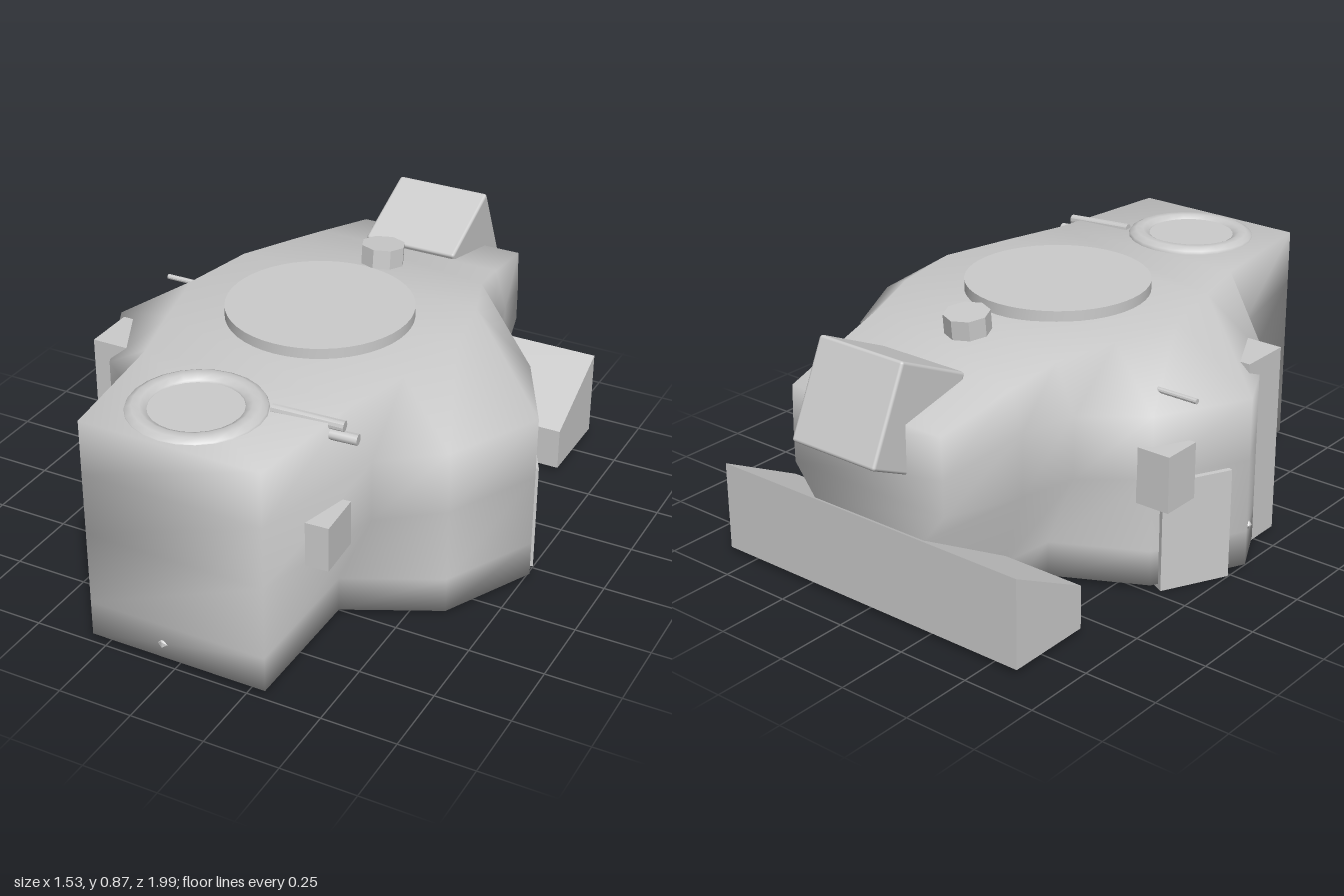
import * as THREE from 'three';
import { toCreasedNormals } from 'three/addons/utils/BufferGeometryUtils.js';
import { RoundedBoxGeometry } from 'three/addons/geometries/RoundedBoxGeometry.js';

const material = new THREE.MeshStandardMaterial({ color: 0xcccccc });

export function createModel() {
  const group = new THREE.Group();
  const add = (name, geometry, x = 0, y = 0, z = 0, rx = 0, ry = 0, rz = 0) => {
    const mesh = new THREE.Mesh(geometry, material);
    mesh.name = name;
    mesh.position.set(x, y, z);
    mesh.rotation.set(rx, ry, rz);
    group.add(mesh);
    return mesh;
  };
  const box = (name, x0, x1, y0, y1, z0, z1) =>
    add(name, new THREE.BoxGeometry(x1 - x0, y1 - y0, z1 - z0), (x0 + x1) / 2, (y0 + y1) / 2, (z0 + z1) / 2);

  add('hull', hullGeometry());

  // Roof hatch, vent and periscope ring
  add('roofHatch', creased(new THREE.CylinderGeometry(0.305, 0.305, 0.06, 48)), 0, 0.79, 0.06);
  add('roofVent', toCreasedNormals(new THREE.CylinderGeometry(0.075, 0.075, 0.065, 8), 0.1), 0, 0.805, -0.39, -0.1);
  const ring = new THREE.TorusGeometry(0.18, 0.04, 10, 24);
  ring.rotateX(Math.PI / 2);
  ring.scale(1, 0.7, 1);
  add('frontRing', ring, -0.04, 0.775, 0.757, 0.02);
  add('frontRingLid', creased(new THREE.CylinderGeometry(0.15, 0.15, 0.03, 24)), -0.04, 0.773, 0.757);

  // Twin rods reaching out beside the ring
  rod('upperRod', [0.16, 0.785, 0.66], [0.39, 0.777, 0.638], 0.017);
  rod('lowerRod', [0.2, 0.745, 0.655], [0.43, 0.738, 0.63], 0.018);
  rod('sidePin', [-0.71, 0.652, -0.16], [-0.55, 0.652, -0.16], 0.009);

  // Tilted stowage box on the upper rear
  add('rearUpperBox', new RoundedBoxGeometry(0.335, 0.33, 0.3, 2, 0.01), 0.003, 0.658, -0.795, 0.435);

  // Wide lower rear box with a sloping lid
  const profile = new THREE.Shape([[0.582, 0.02], [0.885, 0.02], [0.885, 0.322], [0.582, 0.167]]
    .map(([z, y]) => new THREE.Vector2(z, y)));
  const wedge = new THREE.ExtrudeGeometry(profile, { depth: 1.2, bevelEnabled: false });
  wedge.translate(0, 0, -0.6);
  wedge.rotateY(Math.PI / 2);
  add('rearLowerBox', wedge);

  // Blocks let into the flanks
  for (const [name, s] of [['leftFlankBlock', 1], ['rightFlankBlock', -1]]) {
    add(name, new THREE.BoxGeometry(0.25, 0.375, 0.24), s * 0.582, 0.19, -0.06, 0, s * 0.477);
  }
  box('rightFrontBlock', -0.68, -0.42, 0.01, 0.655, 0.17, 0.35);
  box('rightRearLamp', -0.69, -0.57, 0.31, 0.5, -0.27, -0.13);
  box('frontSideBlock', 0.28, 0.42, 0.38, 0.53, 0.65, 0.81).rotation.y = 0.06;

  // Small studs
  add('frontStud', new THREE.IcosahedronGeometry(0.02, 0), -0.05, 0.07, 0.975);
  add('sideStud', new THREE.IcosahedronGeometry(0.015, 0), -0.742, 0.14, 0.1);

  function rod(name, a, b, r) {
    const line = new THREE.LineCurve3(new THREE.Vector3(...a), new THREE.Vector3(...b));
    const mesh = add(name, creased(new THREE.CylinderGeometry(r, r, line.getLength(), 10)), ...line.getPoint(0.5).toArray());
    mesh.quaternion.setFromUnitVectors(new THREE.Vector3(0, 1, 0), line.getTangent(0));
  }
  return group;
}

function creased(geometry) {
  return toCreasedNormals(geometry, 1.15);
}

// Mirrored side profiles, front to back, lofted upwards and closed by strips; smooth all over
function hullGeometry() {
  const outlineZ = [0.985, 0.52, 0.37, 0.06, -0.24, -0.39, -0.58, -0.86];
  const outlineX = [0.305, 0.42, 0.61, 0.765, 0.61, 0.42, 0.375, 0.305];
  // The foot pulls in at the waist, front and rear
  const footX = [0.305, 0.31, 0.61, 0.765, 0.61, 0.32, 0.3, 0.22];
  const roof = [[0.305, 0.785, 0.985], [0.36, 0.785, 0.53], [0.42, 0.785, 0.31], [0.48, 0.785, 0.06], [0.43, 0.785, -0.2],
    [0.36, 0.768, -0.4], [0.335, 0.732, -0.58], [0.3, 0.67, -0.86]];
  // Heights are level along the body, with the overhanging tail set apart
  const level = (xs, y, tailY) => xs.map((x, i) => [x, i === xs.length - 1 ? tailY : y, outlineZ[i]]);
  const levels = [
    level(footX, 0.02, 0.26),
    level(footX, 0.14, 0.3),
    level(outlineX, 0.39, 0.41),
    level(outlineX, 0.6, 0.53),
    roof,
  ];
  const n = outlineZ.length;
  const positions = [];
  const index = [];
  for (const side of levels) {
    for (const [x, y, z] of side) positions.push(x, y, z);
    for (const [x, y, z] of [...side].reverse()) positions.push(-x, y, z);
  }
  const quad = (a, b, c, d) => index.push(a, b, c, a, c, d);
  const ring = 2 * n;
  // Walls
  for (let l = 0; l < levels.length - 1; l++) {
    for (let i = 0; i < ring; i++) {
      const j = (i + 1) % ring;
      quad(l * ring + i, l * ring + j, (l + 1) * ring + j, (l + 1) * ring + i);
    }
  }
  // Roof and floor
  const top = (levels.length - 1) * ring;
  for (let i = 0; i < n - 1; i++) {
    const l0 = ring - 1 - i;
    quad(top + i, top + i + 1, top + l0 - 1, top + l0);
    quad(i, l0, l0 - 1, i + 1);
  }
  const geometry = new THREE.BufferGeometry();
  geometry.setAttribute('position', new THREE.Float32BufferAttribute(positions, 3));
  geometry.setIndex(index);
  geometry.computeVertexNormals();
  return geometry;
}
